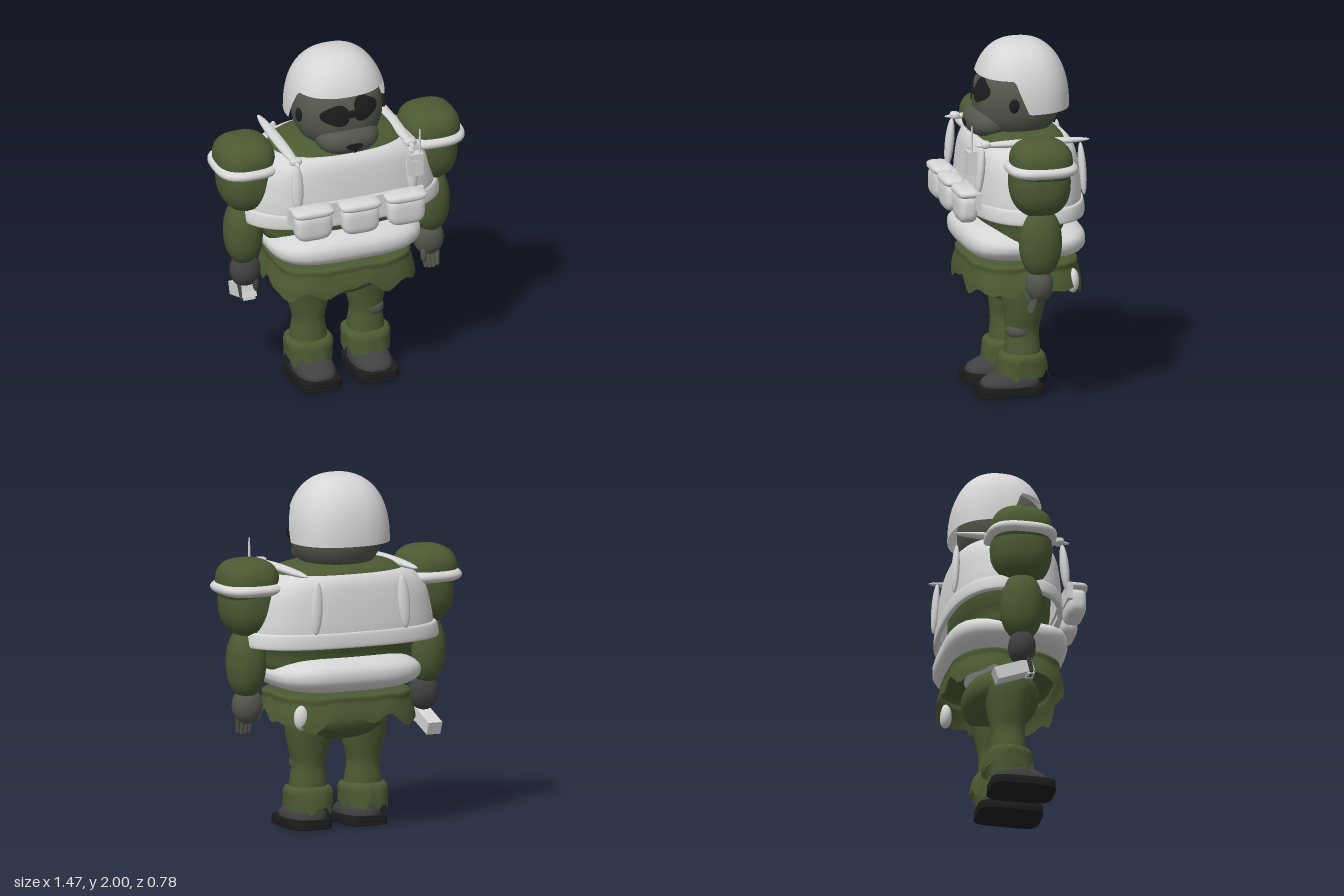
import * as THREE from 'three';

const mat = (name, color, side = THREE.FrontSide) => {
  const m = new THREE.MeshStandardMaterial({ color, side });
  m.name = name;
  return m;
};

// Smooth surface from a rule f(angle, v); v runs upward or outward
function grid(f, nu = 40, nv = 20) {
  const pos = [], idx = [];
  for (let i = 0; i <= nv; i++)
    for (let j = 0; j < nu; j++) pos.push(...f((j / nu) * Math.PI * 2, i / nv));
  for (let i = 0; i < nv; i++)
    for (let j = 0; j < nu; j++) {
      const a = i * nu + j, b = i * nu + ((j + 1) % nu), c = a + nu, d = b + nu;
      idx.push(a, c, b, b, c, d);
    }
  const g = new THREE.BufferGeometry();
  g.setAttribute('position', new THREE.Float32BufferAttribute(pos, 3));
  g.setIndex(idx);
  g.computeVertexNormals();
  return g;
}

// Point on a rounded-square outline with exponent p
function outline(t, p) {
  const c = Math.cos(t), s = Math.sin(t);
  const r = (Math.abs(c) ** p + Math.abs(s) ** p) ** (1 / p);
  return [c / r, s / r];
}

// Rounded block: p squares the plan, q squares the profile
const blob = (hx, hy, hz, p = 2, q = 2, rule = (x, y, z) => [x, y, z]) =>
  grid((t, v) => {
    const [cx, cz] = outline(t, p);
    const [r, y] = outline((v - 0.5) * Math.PI, q);
    const [X, Y, Z] = rule(cx * r, y, cz * r);
    return [X * hx, Y * hy, Z * hz];
  });

// Smooth stack of sections [y, halfX, halfZ, centreZ], with an optional torn hem
function loft(rows, p = 2, hem = () => 0) {
  const curve = new THREE.CubicInterpolant(rows.map((_, i) => i), rows.flat(), 4);
  return grid((t, v) => {
    const [y, hx, hz, cz] = curve.evaluate(v * (rows.length - 1));
    const [x, z] = outline(t, p);
    return [x * hx, y + hem(t) * (1 - v) ** 2, cz + z * hz];
  }, 72, 24);
}

export function createModel() {
  const M = {
    green: mat('olive cloth', 0x4c5a32),
    cloth: mat('olive torn cloth', 0x4c5a32, THREE.DoubleSide),
    white: mat('pale gear', 0xd6d6d6),
    shell: mat('pale helmet', 0xd6d6d6, THREE.DoubleSide),
    skin: mat('grey skin', 0x53564c),
    glove: mat('dark glove', 0x414141),
    black: mat('black', 0x1c1c1c),
  };
  const root = new THREE.Group();
  root.name = 'armouredTrooper';
  const add = (name, geo, m, x = 0, y = 0, z = 0, rx = 0, rz = 0) => {
    const mesh = new THREE.Mesh(geo, M[m]);
    mesh.name = name;
    mesh.position.set(x, y, z);
    mesh.rotation.set(rx, 0, rz);
    root.add(mesh);
    return mesh;
  };

  // Head, muzzle and helmet
  const HEAD = { c: [0, 1.66, -0.04], h: [0.25, 0.22, 0.24], p: 2.3, q: 2.4 };
  const MUZZLE = { c: [0, 1.54, 0.12], h: [0.18, 0.085, 0.13], p: 2.4, q: 2.3 };
  for (const [name, o] of [['head', HEAD], ['muzzle', MUZZLE]])
    add(name, blob(...o.h, o.p, o.q), 'skin', ...o.c);

  add('helmet', grid((t, v) => {
    const [cx, cz] = outline(t, 2.4);
    const low = THREE.MathUtils.clamp(1.62 + 0.19 * (cz * 0.265 - 0.015) / 0.08, 1.62, 1.81);
    const y = 2 - (2 - low) * (1 - v) ** 2;
    const s = Math.max(0, 1 - ((y - 1.62) / 0.38) ** 2.4) ** (1 / 2.4);
    return [cx * 0.282 * s, y, -0.065 + cz * 0.268 * s];
  }, 96, 28), 'shell');

  // Painted face patches that follow the surface beneath
  const patch = (name, o, x0, y0, rx, ry, wob) =>
    add(name, grid((t, v) => {
      const r = v * (1 + wob * Math.sin(3 * t + x0 * 20));
      const x = x0 + Math.cos(t) * rx * r, y = y0 + Math.sin(t) * ry * r;
      const a = Math.abs(x / o.h[0]), b = Math.abs((y - o.c[1]) / o.h[1]);
      const plan = Math.max(0, 1 - b ** o.q) ** (1 / o.q);
      const z = Math.max(0, plan ** o.p - a ** o.p) ** (1 / o.p);
      return [x, y, o.c[2] + z * o.h[2] + 0.005];
    }, 28, 8), 'black');
  patch('rightEye', HEAD, -0.085, 1.705, 0.08, 0.06, 0.1);
  patch('leftEye', HEAD, 0.085, 1.73, 0.075, 0.068, 0.12);
  patch('eyeBridge', HEAD, 0, 1.71, 0.04, 0.022, 0);
  patch('mouth', MUZZLE, 0, 1.532, 0.05, 0.022, 0.08);
  patch('mouthLine', MUZZLE, 0.012, 1.495, 0.008, 0.03, 0);

  // Torso and vest
  add('torso', loft([[0.88, 0, 0, -0.045], [0.9, 0.4, 0.2, -0.045], [1.0, 0.44, 0.235, -0.045],
    [1.1, 0.47, 0.26, -0.05], [1.3, 0.46, 0.26, -0.05], [1.42, 0.42, 0.25, -0.05],
    [1.48, 0.35, 0.22, -0.05], [1.51, 0.2, 0.16, -0.05], [1.515, 0, 0, -0.05]], 2.5), 'green');
  add('vest', loft([[1.07, 0.555, 0.315, -0.05], [1.16, 0.555, 0.318, -0.05], [1.26, 0.54, 0.312, -0.05],
    [1.35, 0.515, 0.302, -0.05], [1.42, 0.46, 0.287, -0.05], [1.46, 0.38, 0.255, -0.05],
    [1.45, 0.31, 0.2, -0.05]], 2.6), 'shell');
  add('vestBand', loft([[1.065, 0.55, 0.3, -0.055], [1.066, 0.588, 0.326, -0.055],
    [1.14, 0.575, 0.322, -0.055], [1.146, 0.54, 0.3, -0.055]], 2.6), 'shell');

  // Padded waist roll, lower at the hips
  add('waistRoll', blob(0.445, 0.115, 0.345, 3.6, 2.6, (x, y, z) =>
    [x, y > 0 ? y * (1 - 0.45 * x ** 6 * (1 - z * z)) : y, z]), 'white', 0, 0.895, -0.045);

  // Torn skirt and pelvis
  const tear = (t) => 0.022 * Math.sin(9 * t + 0.6) + 0.016 * Math.sin(15 * t) - 0.02 * Math.cos(4 * t + Math.PI);
  add('skirt', loft([[0.635, 0.425, 0.33, -0.045], [0.68, 0.415, 0.325, -0.045],
    [0.74, 0.395, 0.31, -0.045], [0.785, 0.38, 0.295, -0.045], [0.79, 0.2, 0.15, -0.045]], 3.2, tear), 'cloth');
  add('skirtPatch', blob(0.045, 0.07, 0.035), 'white', 0.33, 0.67, -0.285);
  add('pelvis', blob(0.28, 0.135, 0.21, 2.3, 2.2), 'green', 0, 0.635, -0.045);

  // Pouches on a front belt
  add('pouchBelt', new THREE.BoxGeometry(0.8, 0.1, 0.03), 'white', 0, 1.17, 0.272);
  [-0.275, 0, 0.275].forEach((x, i) => {
    const z = i === 1 ? 0.33 : 0.32;
    add('pouch', blob(0.108, 0.085, 0.055, 4, 3.5), 'white', x, 1.125, z);
    add('pouchLid', blob(0.121, 0.03, 0.062, 4, 2.5), 'white', x, 1.21, z);
  });

  // Radio with antenna
  add('radio', new THREE.BoxGeometry(0.08, 0.135, 0.05), 'white', 0.34, 1.39, 0.305);
  add('radioScreen', new THREE.BoxGeometry(0.04, 0.025, 0.008), 'white', 0.325, 1.41, 0.332);
  add('radioKnob', new THREE.BoxGeometry(0.02, 0.025, 0.02), 'white', 0.315, 1.465, 0.305);
  add('antenna', new THREE.CylinderGeometry(0.005, 0.008, 0.15, 10), 'white', 0.367, 1.525, 0.305);

  for (const s of [1, -1]) {
    const side = s > 0 ? 'left' : 'right';
    const hand = s > 0 ? 'skin' : 'glove';
    const X = (x) => s * x;

    add(side + 'EarMark', blob(0.016, 0.04, 0.03), 'black', X(0.25), 1.67, 0.03);

    // Straps over the shoulder, down the chest and back
    add(side + 'ShoulderStrap', blob(0.033, 0.022, 0.33), 'white', X(0.34), 1.48, -0.05);
    add(side + 'ChestStrap', blob(0.035, 0.14, 0.025), 'white', X(0.34), 1.33, 0.25, -0.1);
    add(side + 'BackStrap', blob(0.035, 0.15, 0.022), 'white', X(0.27), 1.295, -0.355, 0.06, s * 0.06);
    add(side + 'StrapBuckle', blob(0.035, 0.02, 0.025, 3, 3), 'white', X(0.34), 1.485, 0.22);

    // Arm
    add(side + 'ShoulderPad', blob(0.165, 0.135, 0.172, 2.8, 2.6), 'green', X(0.55), 1.42, -0.045);
    add(side + 'ShoulderRing', blob(0.188, 0.05, 0.198, 3, 2.4), 'white', X(0.548), 1.39, -0.045);
    add(side + 'UpperArm', blob(0.165, 0.2, 0.17, 2.6, 2.4), 'green', X(0.535), 1.31, -0.04);
    add(side + 'Forearm', blob(0.108, 0.2, 0.12, 2.2, 2.2), 'green', X(0.555), 0.965, -0.04);
    add(side + 'Hand', blob(0.087, 0.105, 0.076, 2.2), hand, X(0.545), 0.72, -0.036);
    for (let i = 0; i < 4; i++) {
      const off = (i - 1.5) * 0.026;
      add(side + 'Finger', new THREE.CapsuleGeometry(0.013, 0.09, 4, 10), hand,
        X(0.546 + off), 0.6 + Math.abs(off) * 0.3, 0.0, -0.25, s * off * -3);
    }
    add(side + 'Thumb', blob(0.018, 0.05, 0.018), hand, X(0.5), 0.64, 0.01);

    // Leg, torn cuff and boot
    add(side + 'Leg', loft([[0.1, 0.095, 0.1, -0.03], [0.24, 0.105, 0.1, -0.035], [0.36, 0.09, 0.093, -0.035],
      [0.47, 0.115, 0.108, -0.04], [0.6, 0.132, 0.13, -0.04], [0.7, 0.11, 0.11, -0.04]], 2.2), 'green', X(0.17));
    add(side + 'Cuff', loft([[0.12, 0.13, 0.145, -0.035], [0.17, 0.132, 0.14, -0.035],
      [0.215, 0.135, 0.132, -0.033], [0.24, 0.12, 0.115, -0.033], [0.245, 0.09, 0.09, -0.033]], 2.4,
      (t) => 0.02 * Math.sin(7 * t + s) + 0.012 * Math.sin(12 * t)), 'cloth', X(0.17));
    add(side + 'Boot', blob(0.112, 0.095, 0.165, 2.6, 2.4, (x, y, z) =>
      [x, y > 0 ? y * (1 - 0.45 * Math.max(0, z)) : y * 0.4, z]), 'glove', X(0.168), 0.06, 0.035);
    add(side + 'Sole', loft([[0, 0, 0, 0.04], [0.002, 0.112, 0.168, 0.04], [0.02, 0.126, 0.182, 0.04],
      [0.048, 0.124, 0.18, 0.04], [0.058, 0.11, 0.165, 0.04], [0.058, 0, 0, 0.04]], 5), 'black', X(0.17));
  }

  // Grey knee patch on the left leg
  add('kneePatch', blob(0.074, 0.045, 0.075, 2.3, 2.6), 'skin', 0.19, 0.37, -0.012);

  // Sidearm in the right hand, pointing back and down
  add('sidearmBody', new THREE.BoxGeometry(0.085, 0.075, 0.22), 'white', -0.54, 0.57, -0.085, -0.35);
  add('sidearmGrip', new THREE.BoxGeometry(0.07, 0.1, 0.04), 'white', -0.54, 0.6, 0.0, -0.2);
  return root;
}
